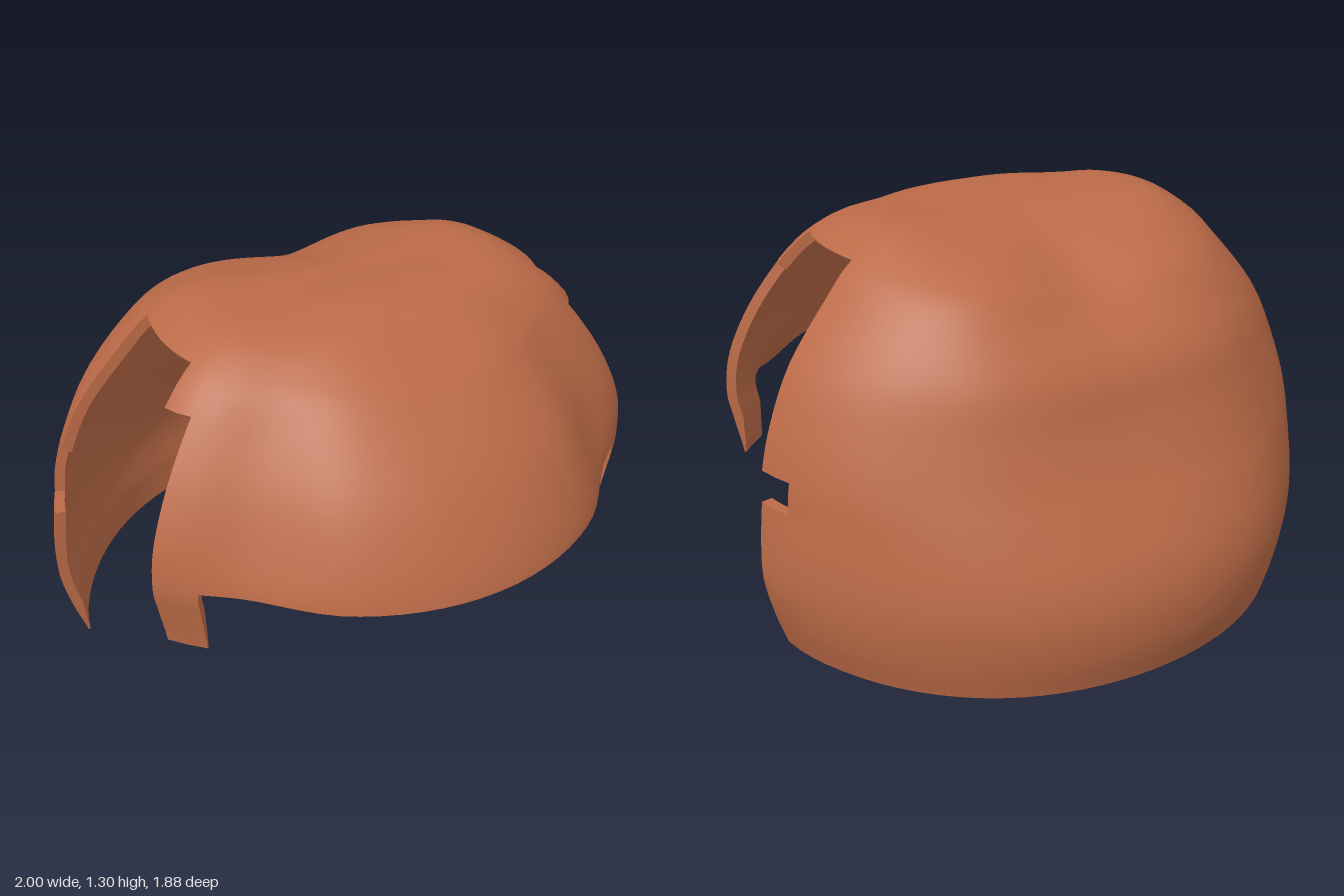
import * as THREE from 'three';

const THICKNESS = 0.035, HEM_THICKNESS = 0.006;

// Cut angles: side lock front and back, ear opening, back panel edge, notch end
const LOCK = 56.5, LOCK_BACK = 64.5, EAR = 71.5, PANEL = 101.4, NOTCH = 108.5;

// Meridian profiles around the head: [radius, height] on the crown, radii at HEM heights below
const ANGLES = [0, 28, 48, 68, 101, 120, 138, 180];
const HEM = [0.95, 0.78, 0.638, 0.535, 0.4, 0.27, 0.13, 0];
const CROWN = [
  [[0, 1.285], [0.22, 1.303], [0.36, 1.272], [0.51, 1.19], [0.61, 1.115]],
  [[0, 1.285], [0.23, 1.3], [0.4, 1.27], [0.55, 1.19], [0.64, 1.115]],
  [[0, 1.285], [0.25, 1.298], [0.45, 1.267], [0.585, 1.19], [0.655, 1.115]],
  [[0, 1.285], [0.26, 1.29], [0.5, 1.285], [0.65, 1.22], [0.76, 1.12]],
  [[0, 1.285], [0.26, 1.29], [0.48, 1.293], [0.63, 1.22], [0.73, 1.12]],
  [[0, 1.285], [0.25, 1.275], [0.45, 1.262], [0.6, 1.2], [0.7, 1.115]],
  [[0, 1.285], [0.23, 1.26], [0.43, 1.23], [0.56, 1.18], [0.65, 1.11]],
  [[0, 1.285], [0.2, 1.24], [0.34, 1.185], [0.42, 1.14], [0.48, 1.1]],
];
const SKIRT = [
  [0.775, 0.882, 0.937, 0.94, 0.94, 0.93, 0.92, 0.9],
  [0.78, 0.872, 0.922, 0.92, 0.91, 0.9, 0.89, 0.88],
  [0.765, 0.845, 0.895, 0.892, 0.88, 0.87, 0.86, 0.85],
  [0.885, 0.965, 0.985, 0.97, 0.945, 0.94, 0.93, 0.92],
  [0.87, 0.95, 0.99, 1.0, 1.015, 1.018, 0.99, 0.95],
  [0.825, 0.9, 0.948, 0.968, 0.988, 0.994, 0.975, 0.935],
  [0.765, 0.83, 0.88, 0.915, 0.95, 0.965, 0.95, 0.92],
  [0.65, 0.715, 0.78, 0.84, 0.91, 0.94, 0.93, 0.89],
];
const PROFILES = CROWN.map((c, k) => [...c, ...SKIRT[k].map((r, i) => [r, HEM[i]])]);

// Cubic interpolation over uneven knots; zero slope at both ends
function smooth(knots, values, x) {
  let k = 0;
  while (k < knots.length - 2 && x > knots[k + 1]) k++;
  const slope = (i) => (i === 0 || i === knots.length - 1 ? 0
    : (values[i + 1] - values[i - 1]) / (knots[i + 1] - knots[i - 1]));
  const h = knots[k + 1] - knots[k], u = (x - knots[k]) / h, u2 = u * u, u3 = u2 * u;
  return (2 * u3 - 3 * u2 + 1) * values[k] + (u3 - 2 * u2 + u) * h * slope(k)
    + (3 * u2 - 2 * u3) * values[k + 1] + (u3 - u2) * h * slope(k + 1);
}

// Point along one profile at level t (Catmull-Rom, mirrored over the crown)
function along(profile, t, axis) {
  const n = profile.length - 1, i = Math.min(Math.floor(t), n - 1), u = t - i;
  const at = (k) => {
    if (k < 0) return axis === 0 ? -profile[-k][0] : profile[-k][1];
    if (k > n) return 2 * profile[n][axis] - profile[n - 1][axis];
    return profile[k][axis];
  };
  const a = at(i - 1), b = at(i), c = at(i + 1), d = at(i + 2);
  return b + 0.5 * u * (c - a + u * (2 * a - 5 * b + 4 * c - d + u * (3 * (b - c) + d - a)));
}

function surfacePoint(angle, t) {
  const a = Math.abs(angle);
  const r = smooth(ANGLES, PROFILES.map((p) => along(p, t, 0)), a);
  const y = smooth(ANGLES, PROFILES.map((p) => along(p, t, 1)), a);
  const rad = THREE.MathUtils.degToRad(angle);
  return new THREE.Vector3(r * Math.sin(rad), y, r * Math.cos(rad));
}

// Which cells belong to the hair: fringe, side locks, ear openings, back with notches
function isHair(angle, t) {
  const a = Math.abs(angle);
  if (a < LOCK) return t < 7;
  if (a < LOCK_BACK) return t < 9;
  if (a < EAR) return t < 4;
  if (a < PANEL) return t < 3;
  if (a < NOTCH) return !(t > (angle > 0 ? 7 : 6) && t < 8);
  return true;
}

// Shell thickness, thinning to a fine edge at the fringe, lock and nape hems
function thicknessAt(angle, t) {
  const a = Math.abs(angle);
  const hem = a < LOCK - 0.1 ? 7 : a < EAR ? 9 : 12;
  return THREE.MathUtils.lerp(HEM_THICKNESS, THICKNESS, THREE.MathUtils.clamp(hem - t, 0, 1));
}

export function createModel() {
  const hairBrown = new THREE.MeshStandardMaterial({ color: 0xbb6a47 });
  hairBrown.name = 'hairBrown';

  // Columns land exactly on the cut angles
  const stops = [0, LOCK, LOCK_BACK, EAR, PANEL, NOTCH, 180], half = [];
  for (let k = 0; k < stops.length - 1; k++) {
    const n = Math.ceil((stops[k + 1] - stops[k]) / 4);
    for (let i = 0; i < n; i++) half.push(stops[k] + (stops[k + 1] - stops[k]) * i / n);
  }
  const columns = [...half.slice(1).map((a) => -a).reverse(), ...half, 180];
  const N = columns.length, SUB = 4, ROWS = 12 * SUB;
  const id = (i, j) => ((i + N) % N) * (ROWS + 1) + j;

  const points = [];
  for (const angle of columns) {
    for (let j = 0; j <= ROWS; j++) points.push(surfacePoint(angle, j / SUB));
  }
  const kept = (i, j) => {
    if (j < 0 || j >= ROWS) return false;
    const c = (i + N) % N;
    const from = c === N - 1 ? -180 : columns[c], to = columns[(c + 1) % N];
    return isHair((from + to) / 2, (j + 0.5) / SUB);
  };

  const outerIndex = [], innerIndex = [], fullIndex = [], edges = [];
  for (let i = 0; i < N; i++) {
    for (let j = 0; j < ROWS; j++) {
      const a = id(i, j), b = id(i + 1, j), c = id(i + 1, j + 1), d = id(i, j + 1);
      const faces = j === 0 ? [a, d, c] : [a, d, c, a, c, b];
      fullIndex.push(...faces);
      if (!kept(i, j)) continue;
      outerIndex.push(...faces);
      innerIndex.push(...faces.slice().reverse());
      if (!kept(i - 1, j)) edges.push([a, d]);
      if (!kept(i, j + 1)) edges.push([d, c]);
      if (!kept(i + 1, j)) edges.push([c, b]);
      if (j > 0 && !kept(i, j - 1)) edges.push([b, a]);
    }
  }

  // Outer skin, with normals taken from the uncut surface
  const outer = new THREE.BufferGeometry().setFromPoints(points);
  outer.setIndex(fullIndex);
  outer.computeVertexNormals();
  const normals = outer.getAttribute('normal');
  for (let i = 0; i < N; i++) normals.setXYZ(id(i, 0), 0, 1, 0);
  outer.setIndex(outerIndex);

  // Inner skin, offset inward and level along the hem
  const innerPoints = points.map((p, k) => {
    const n = new THREE.Vector3().fromBufferAttribute(normals, k);
    const j = k % (ROWS + 1);
    if (j >= 7 * SUB) n.setY(0).normalize();
    const angle = columns[Math.floor(k / (ROWS + 1))];
    return p.clone().addScaledVector(n, -thicknessAt(angle, j / SUB));
  });
  const inner = new THREE.BufferGeometry().setFromPoints(innerPoints);
  inner.setIndex(innerIndex);
  inner.computeVertexNormals();

  // Rim joining the two skins around every cut
  const rimPoints = [];
  for (const [p, q] of edges) {
    rimPoints.push(points[q], points[p], innerPoints[p], points[q], innerPoints[p], innerPoints[q]);
  }
  const rim = new THREE.BufferGeometry().setFromPoints(rimPoints);
  rim.computeVertexNormals();

  const group = new THREE.Group();
  group.name = 'hair';
  for (const [name, geometry] of [['hairOuter', outer], ['hairInner', inner], ['hairRim', rim]]) {
    const mesh = new THREE.Mesh(geometry, hairBrown);
    mesh.name = name;
    group.add(mesh);
  }
  return group;
}
